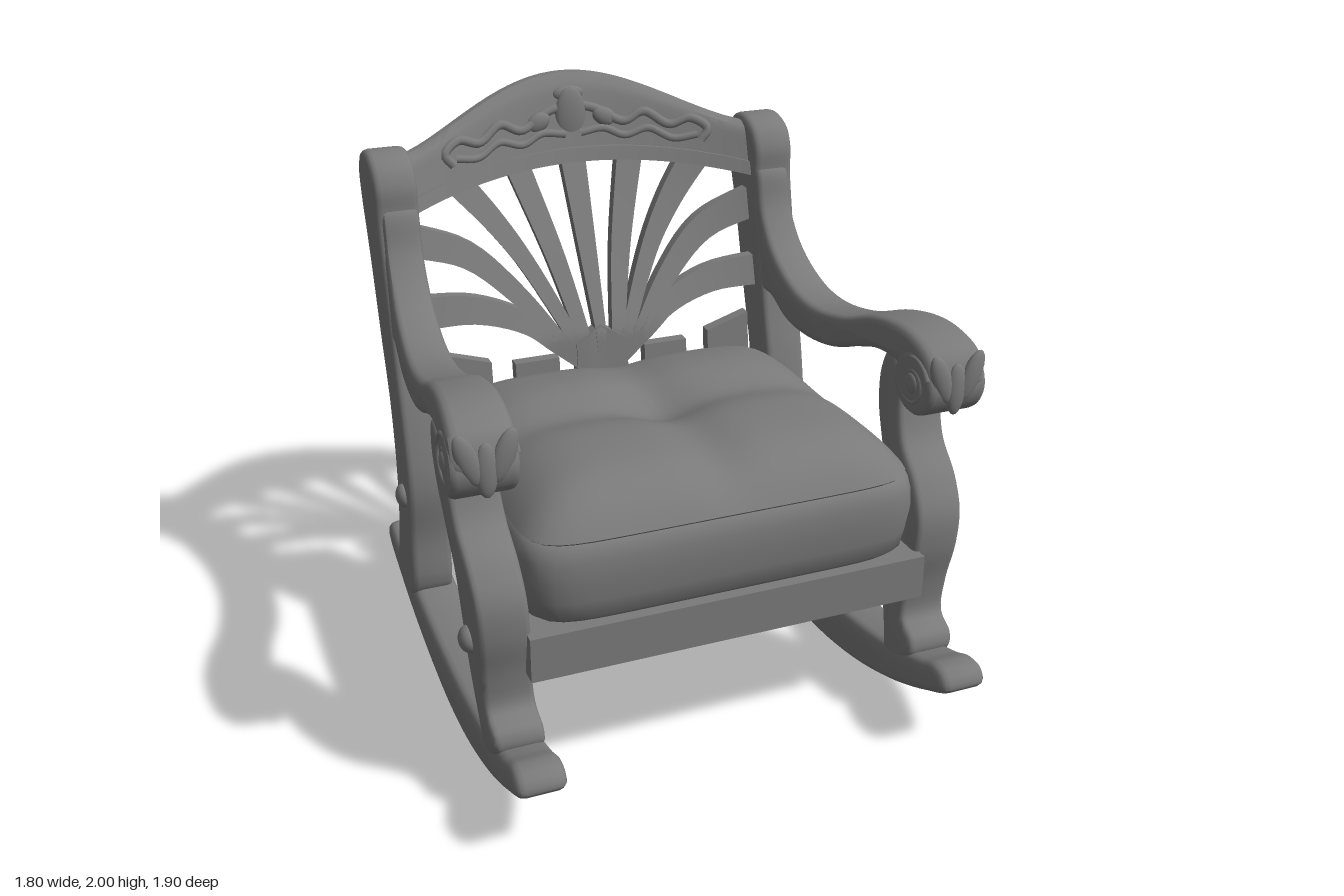
import * as THREE from 'three';
import { toCreasedNormals, mergeVertices } from 'three/addons/utils/BufferGeometryUtils.js';

const wood = new THREE.MeshStandardMaterial({ color: 0x7a7a7a });
wood.name = 'grey wood and fabric';

export function createModel() {
  const chair = new THREE.Group();
  chair.name = 'rockingChair';

  const add = (name, geometry) => {
    const mesh = new THREE.Mesh(geometry, wood);
    mesh.name = name;
    chair.add(mesh);
    return mesh;
  };

  // Move every vertex by a rule returning [x, y, z]
  const warp = (geo, rule, crease = 0.6) => {
    const p = geo.attributes.position;
    for (let i = 0; i < p.count; i++) p.setXYZ(i, ...rule(p.getX(i), p.getY(i), p.getZ(i)));
    return toCreasedNormals(geo, crease);
  };

  // Unit box (u, v, w from -0.5 to 0.5) reshaped by a rule
  const warpBox = (nu, nv, nw, rule) => warp(new THREE.BoxGeometry(1, 1, 1, nu, nv, nw), rule);

  // Side profile given as [z, y], made into a rounded slab centred on cx(z, y)
  const slab = (points, half, bevel, cx, taper = 0) => {
    const curve = new THREE.CatmullRomCurve3(points.map(([z, y]) => new THREE.Vector3(z, y, 0)), true, 'centripetal');
    const shape = new THREE.Shape(curve.getPoints(points.length * 5).slice(0, -1).map((p) => new THREE.Vector2(p.x, p.y)));
    const geo = new THREE.ExtrudeGeometry(shape, {
      depth: 2 - 2 * bevel / half, bevelThickness: bevel / half, bevelSize: bevel, bevelOffset: -bevel, bevelSegments: 3,
    });
    geo.translate(0, 0, -1 + bevel / half);
    geo.rotateY(-Math.PI / 2);
    return warp(geo, (x, y, z) => [x * (half + taper * z) + cx(z, y), y, z]);
  };

  // Leaning, bowed surfaces of the back
  const fanZ = (x, y) => (y < 1.1 ? -0.54 + (1.1 - y) * 0.1 : -0.54 - (y - 1.1) * (0.48 - 0.2 * (x / 0.65) ** 2));
  const crestZ = (x, y) => -0.83 - 0.3 * (y - 1.72) + 0.13 * (x / 0.65) ** 2;
  const crestTop = (x) => 1.8 + 0.2 * Math.cos(Math.min(1, Math.abs(x) / 0.66) * Math.PI / 2) ** 1.4;
  const crestBottom = (x) => 1.7 - 0.19 * x * x;

  // Flat tapering spindle along [x, y] points
  const ribbon = (points, w0, w1, thick) => {
    const curve = new THREE.CatmullRomCurve3(points.map(([x, y]) => new THREE.Vector3(x, y, 0)));
    return warpBox(20, 1, 1, (u, v, w) => {
      const p = curve.getPoint(u + 0.5), t = curve.getTangent(u + 0.5);
      const d = v * (w0 + (w1 - w0) * (u + 0.5));
      const x = p.x - t.y * d, y = p.y + t.x * d;
      return [x, y, fanZ(x, y) + w * thick];
    });
  };

  // Seat frame, narrower at the back
  add('seatFrame', warpBox(1, 1, 1, (u, v, w) => [u * 2 * (0.67 + 0.04 * w), 0.578 + v * 0.155, 0.085 + w * 1.27]));

  // Cushion: turned profile squared off, with a tufted top
  const profile = [[0, 0.66], [0.5, 0.66], [0.95, 0.66], [0.98, 0.68], [0.995, 0.74], [1.01, 0.82], [1.005, 0.88], [0.99, 0.925], [0.97, 0.938]];
  for (let i = 0; i < 26; i++) profile.push([0.98 * Math.cos((i / 26) * Math.PI / 2), 0.95]);
  profile.push([0, 0.95]);
  const lathe = new THREE.LatheGeometry(profile.map(([r, y]) => new THREE.Vector2(r, y)), 112);
  lathe.deleteAttribute('uv');
  lathe.deleteAttribute('normal');
  add('cushion', warp(mergeVertices(lathe), (x, y, z) => {
    const r = Math.hypot(x, z);
    const a = Math.atan2(z, x), c = Math.cos(a), s = Math.sin(a);
    const R = r / (Math.abs(c) ** 9 + Math.abs(s) ** 9) ** (1 / 9);
    const pz = 0.115 + R * s * 0.6, px = R * c * (0.675 + 0.022 * (pz - 0.1));
    if (y > 0.945) {
      const puff = 1 - Math.min(1, r / 0.98) ** 6;
      const dip = 0.03 * Math.exp(-((px / 0.11) ** 2)) + 0.045 * Math.exp(-(((pz - 0.06) / 0.13) ** 2))
        + 0.03 * Math.exp(-(px * px + (pz - 0.04) ** 2) / 0.03);
      y = 0.945 + puff * (0.16 - dip - (pz < 0 ? 0.02 * Math.min(1, -pz * 4) : 0));
    }
    return [px, y, pz];
  }, 0.8));

  // Arched crest rail and its lower moulding
  add('crestRail', warpBox(32, 10, 2, (u, v, w) => {
    const x = u * 1.36, y = THREE.MathUtils.lerp(crestBottom(x), crestTop(x), v + 0.5);
    const thick = 0.095 * (1 - 0.65 * Math.max(0, 2 * v) ** 8);
    return [x, y, crestZ(x, y) + w * thick];
  }));
  add('crestMoulding', warpBox(32, 2, 2, (u, v, w) => {
    const x = u * 1.34, y = crestBottom(x) + 0.018 + v * 0.05;
    return [x, y, crestZ(x, y) + w * 0.125];
  }));

  // Carved relief on the crest
  const carve = (name, points, r) => add(name, new THREE.TubeGeometry(new THREE.CatmullRomCurve3(
    points.map(([x, y]) => new THREE.Vector3(x, y, crestZ(x, y) + 0.045))), 40, r, 8));
  const bud = (name, x, y, z, sx, sy, sz, roll = 0) => {
    const mesh = add(name, new THREE.SphereGeometry(1, 18, 12));
    mesh.position.set(x, y, z);
    mesh.scale.set(sx, sy, sz);
    mesh.rotation.z = roll;
  };
  bud('carvedCentre', 0, 1.85, crestZ(0, 1.85) + 0.045, 0.06, 0.11, 0.022);
  bud('carvedCrown', 0, 1.93, crestZ(0, 1.93) + 0.045, 0.06, 0.03, 0.02);

  // Central spindle and slat of the fan
  add('centreSpindle', ribbon([[0, 1.0], [0, 1.35], [0, 1.74]], 0.03, 0.1, 0.045));
  add('centreSlat', warpBox(8, 4, 1, (u, v, w) => {
    const x = u * 0.2, y = THREE.MathUtils.lerp(0.6, 1.13 - 0.6 * Math.abs(x), v + 0.5);
    return [x, y, fanZ(x, y) + w * 0.05];
  }));

  const spindles = [
    [[[0.05, 1.0], [0.07, 1.1], [0.13, 1.38], [0.225, 1.71]], 0.03, 0.095],
    [[[0.07, 1.0], [0.12, 1.12], [0.25, 1.38], [0.35, 1.53], [0.47, 1.68]], 0.03, 0.1],
    [[[0.08, 1.0], [0.17, 1.11], [0.29, 1.26], [0.46, 1.42], [0.68, 1.51]], 0.03, 0.11],
    [[[0.08, 0.98], [0.18, 1.075], [0.27, 1.16], [0.46, 1.235], [0.68, 1.255]], 0.03, 0.115],
  ];
  const rockerPts = [[0.955, 0.27], [0.93, 0.32], [0.87, 0.33], [0.79, 0.3], [0.7, 0.275], [0.55, 0.235], [0.3, 0.2], [0, 0.19], [-0.3, 0.2],
    [-0.6, 0.235], [-0.77, 0.265], [-0.86, 0.28], [-0.9, 0.24], [-0.87, 0.19], [-0.7, 0.125], [-0.4, 0.05], [0, 0.005], [0.3, 0.025], [0.6, 0.1], [0.84, 0.2]];
  const legPts = [[0.47, 1.2], [0.475, 1.12], [0.52, 0.99], [0.62, 0.89], [0.68, 0.78], [0.685, 0.65], [0.655, 0.5], [0.655, 0.38], [0.72, 0.335],
    [0.73, 0.28], [0.66, 0.22], [0.57, 0.21], [0.54, 0.3], [0.49, 0.48], [0.47, 0.65], [0.45, 0.79], [0.395, 0.92], [0.335, 1.07], [0.33, 1.2], [0.38, 1.29]];
  const armPts = [[0.68, 1.24], [0.67, 1.3], [0.64, 1.345], [0.565, 1.38], [0.46, 1.392], [0.3, 1.367], [0.09, 1.29], [-0.12, 1.255], [-0.28, 1.28],
    [-0.44, 1.37], [-0.535, 1.5], [-0.575, 1.64], [-0.63, 1.66], [-0.64, 1.45], [-0.57, 1.2], [-0.44, 1.185], [-0.31, 1.13], [-0.15, 1.12],
    [0.035, 1.15], [0.19, 1.21], [0.34, 1.255], [0.48, 1.25], [0.58, 1.19]];
  const postPts = [[-0.58, 1.72], [-0.62, 1.79], [-0.71, 1.825], [-0.8, 1.805], [-0.84, 1.74], [-0.83, 1.65], [-0.76, 1.45], [-0.665, 1.13],
    [-0.6, 0.92], [-0.575, 0.66], [-0.6, 0.44], [-0.66, 0.2], [-0.54, 0.15], [-0.425, 0.2], [-0.405, 0.44], [-0.375, 0.65], [-0.415, 0.92],
    [-0.47, 1.13], [-0.54, 1.45], [-0.575, 1.62]];
  const circle = Array.from({ length: 10 }, (_, i) => [0.57 + 0.112 * Math.cos(i * Math.PI / 5), 1.228 + 0.112 * Math.sin(i * Math.PI / 5)]);

  for (const s of [1, -1]) {
    const side = s > 0 ? 'left' : 'right';
    const armX = (z) => s * (0.75 + 0.06 * z);

    // Rocker, legs and arm
    add(side + 'Rocker', slab(rockerPts, 0.083, 0.03, (z) => s * (0.718 + 0.018 * z)));
    add(side + 'FrontLeg', slab(legPts, 0.085, 0.022, (z, y) => s * (0.72 + 0.055 * y)));
    add(side + 'BackPost', slab(postPts, 0.078, 0.025, () => s * 0.722));
    add(side + 'Arm', slab(armPts, 0.085, 0.028, armX, 0.03));
    add(side + 'ArmScroll', slab(circle, 0.088, 0.02, armX, 0.03));

    // Scroll coil and boss on both faces of the arm end
    for (const f of [1, -1]) {
      const x = armX(0.57) + f * 0.102;
      const coil = Array.from({ length: 22 }, (_, i) => {
        const a = 0.4 + i * 0.42, r = 0.098 - i * 0.003;
        return new THREE.Vector3(x - f * 0.004, 1.228 + r * Math.sin(a), 0.57 + r * Math.cos(a));
      });
      add(side + 'ScrollCoil', new THREE.TubeGeometry(new THREE.CatmullRomCurve3(coil), 60, 0.01, 6));
      bud(side + 'ScrollBoss', x, 1.228, 0.57, 0.014, 0.035, 0.035);
    }

    // Carved leaf on the front of the scroll
    for (const k of [-1, 0, 1]) bud(side + 'ScrollLeaf', armX(0.6) + k * 0.055, 1.25 + (k ? 0.02 : -0.02), 0.67, 0.035, 0.09, 0.02, k * -0.35);

    // Round bolt caps
    bud(side + 'FrontBolt', s * 0.838, 0.6, 0.555, 0.035, 0.045, 0.045);
    bud(side + 'BackBolt', s * 0.8, 0.6, -0.46, 0.03, 0.045, 0.045);

    // Fan spindles and lower slats
    for (const [pts, w0, w1] of spindles) add(side + 'Spindle', ribbon(pts.map(([x, y]) => [s * x, y]), w0, w1, 0.04));
    for (const [cx, top, slope] of [[0.255, 1.03, 0], [0.515, 1.075, 0.3]]) {
      add(side + 'Slat', warpBox(1, 1, 1, (u, v, w) => {
        const x = s * cx + u * 0.17, y = v < 0 ? 0.6 : top + slope * s * u * 0.17;
        return [x, y, fanZ(x, y) + w * 0.045];
      }));
    }

    // Flowing carved strands
    carve(side + 'UpperCarving', [[0.03, 1.89], [0.1, 1.87], [0.2, 1.82], [0.28, 1.85], [0.37, 1.8], [0.45, 1.82], [0.51, 1.78], [0.48, 1.74]].map(([x, y]) => [s * x, y]), 0.018);
    carve(side + 'LowerCarving', [[0.03, 1.79], [0.12, 1.8], [0.2, 1.77], [0.29, 1.79], [0.38, 1.75], [0.47, 1.76]].map(([x, y]) => [s * x, y]), 0.015);
    bud(side + 'CarvedBud', s * 0.13, 1.84, crestZ(0.13, 1.84) + 0.045, 0.05, 0.035, 0.022, s * -0.5);
  }
  return chair;
}
